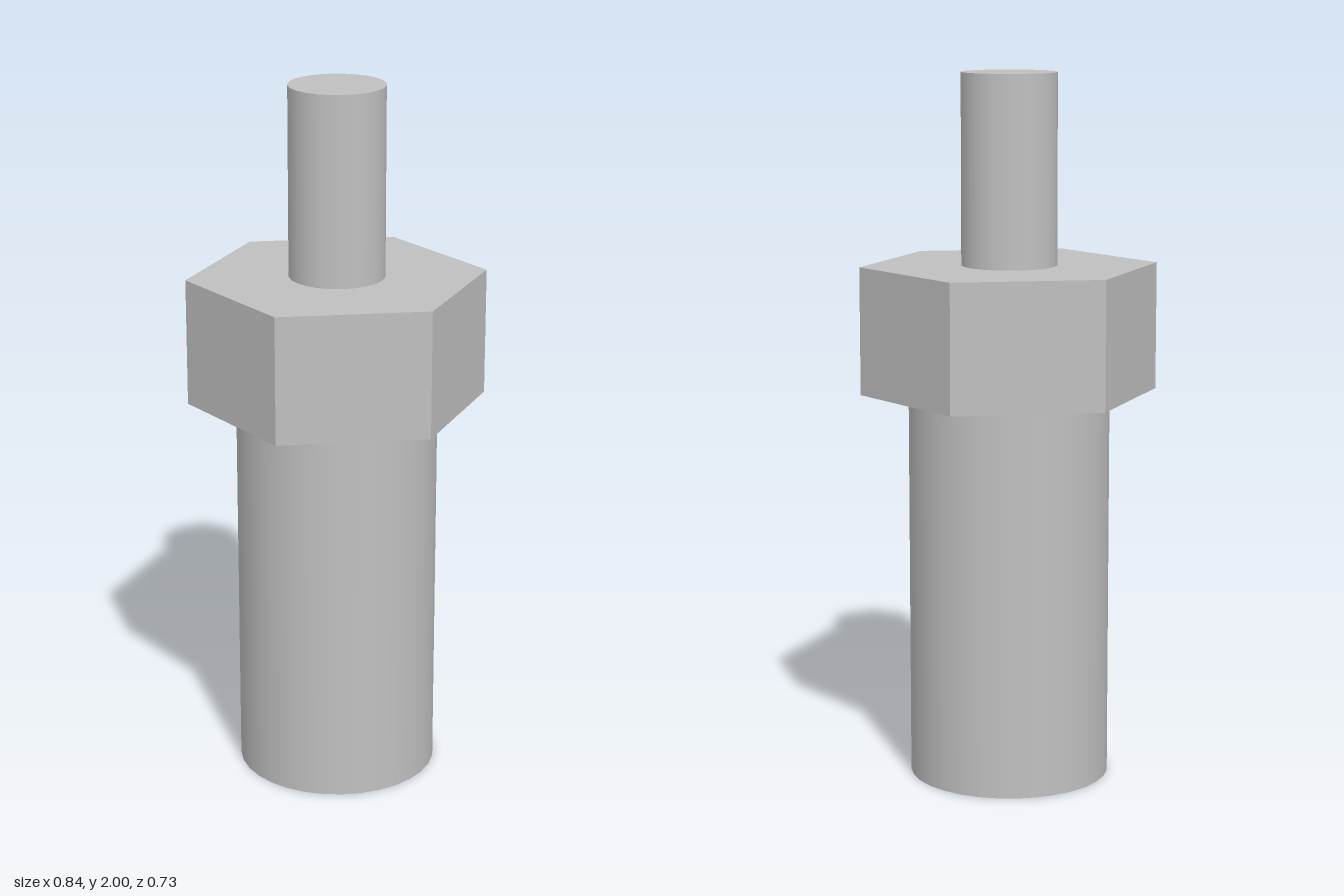
import * as THREE from 'three';

export function createModel() {
  const group = new THREE.Group();
  group.name = 'hexStandoff';

  const metal = new THREE.MeshStandardMaterial({ color: 0xc0c0c0 });
  metal.name = 'grey metal';
  const flatMetal = metal.clone();
  flatMetal.flatShading = true;

  // Upright cylinder or prism between two heights, first corner on +x
  function addPrism(name, radius, bottom, top, sides, material) {
    const geometry = new THREE.CylinderGeometry(
      radius, radius, top - bottom, sides, 1, false, Math.PI / 2);
    const mesh = new THREE.Mesh(geometry, material);
    mesh.name = name;
    mesh.position.y = (bottom + top) / 2;
    group.add(mesh);
  }

  addPrism('lowerShaft', 0.284, 0, 1.105, 32, metal);
  addPrism('hexCollar', 0.42, 1.105, 1.465, 6, flatMetal);
  addPrism('upperPin', 0.135, 1.465, 2, 24, metal);

  return group;
}
